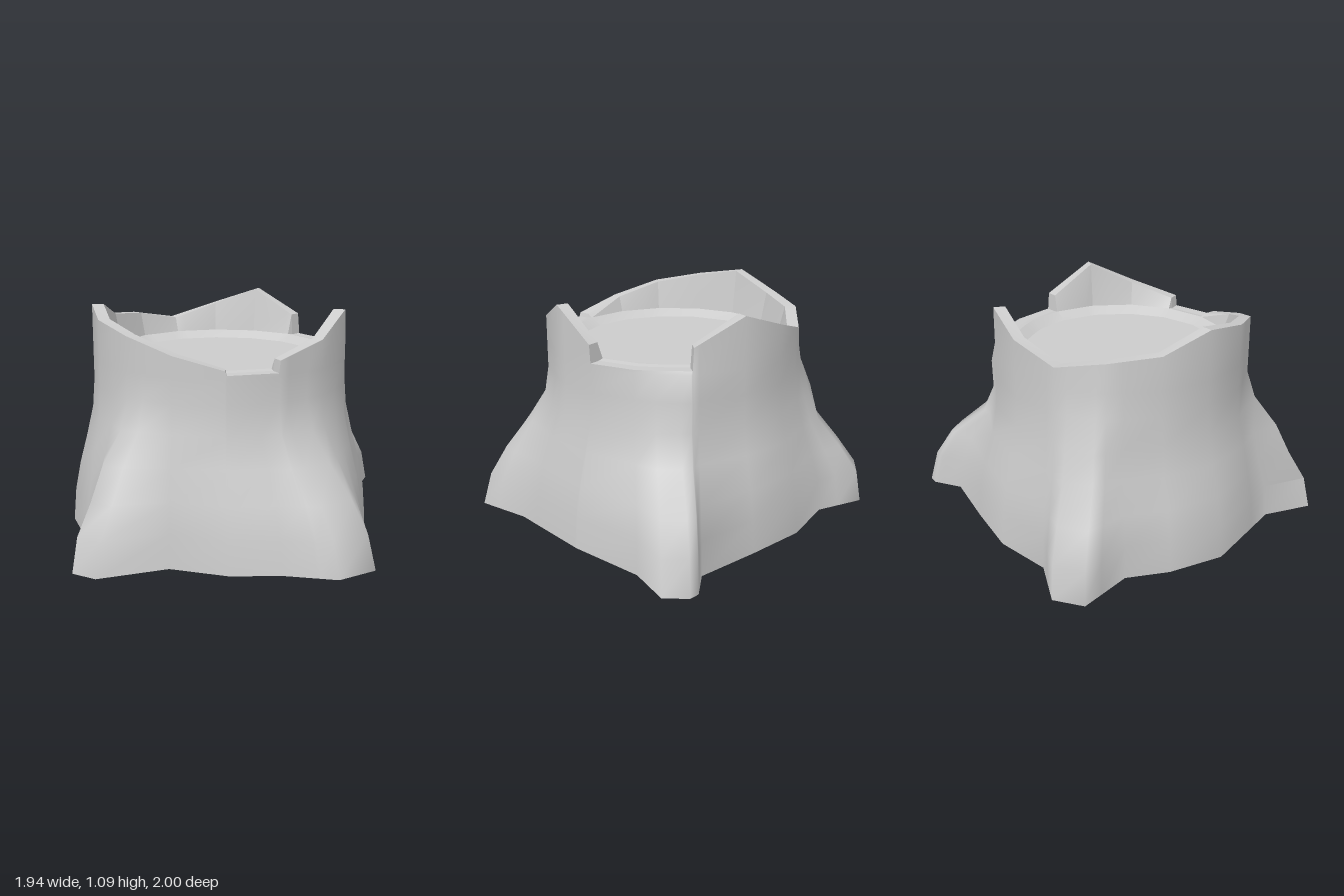
import * as THREE from 'three';
import { toCreasedNormals } from 'three/addons/utils/BufferGeometryUtils.js';

const { lerp } = THREE.MathUtils;
const CZ = 0.035, R = 0.615, SIDES = 16;

// Root outline on the ground: x, z and the trunk side (0 at +x, 4 at +z) it climbs to
const OUTLINE = [
  [0.97, 0.08, 0.35], [0.91, 0.27, 0.8], [0.7, 0.4, 1.4], [0.53, 0.56, 2], [0.28, 0.68, 3],
  [0.12, 0.97, 3.65], [0, 1, 4], [-0.11, 0.78, 4.5], [-0.52, 0.56, 6], [-0.67, 0.33, 7],
  [-0.74, 0.13, 7.7], [-0.97, -0.02, 8.2], [-0.94, -0.17, 8.75], [-0.7, -0.25, 9.2], [-0.52, -0.48, 10],
  [-0.27, -0.65, 11], [0, -0.82, 11.9], [0.04, -0.97, 12.05], [0.08, -1, 12.25], [0.2, -0.98, 12.7],
  [0.28, -0.77, 13.1], [0.53, -0.48, 14], [0.68, -0.25, 14.8], [0.77, -0.11, 15.4],
];

// Broken rim: trunk side and height; close pairs make the notch steps
const RIM = [
  [0, 0.985], [1, 0.92], [1.03, 0.865], [2, 0.865], [2.03, 0.885], [3, 0.945],
  [4, 1.01], [5, 1.05], [6, 1.09], [7, 1.01], [8, 0.985], [9, 0.94], [10, 1.01],
  [11, 1.09], [12, 0.97], [12.03, 0.865], [14, 0.865], [14.03, 0.95], [15, 1.09], [16, 0.985],
];

// How far the bark still reaches out at each height: right, front, left and back root, valleys between
const HEIGHTS = [0, 0.16, 0.3, 0.45, 0.59, 0.73, 0.85];
const VALLEY = [1, 0.89, 0.67, 0.35, 0.09, 0, 0];
const FLARE = [
  [1, 0.88, 0.65, 0.33, 0.08, 0, 0], VALLEY,
  [1, 0.9, 0.66, 0.45, 0.13, 0, 0], VALLEY,
  [1, 0.95, 0.67, 0.34, 0.26, 0.1, 0.04], VALLEY,
  [1, 0.9, 0.69, 0.24, 0.09, 0.1, 0.02], VALLEY,
];

// Point on the sixteen-sided trunk
function trunkPoint(k) {
  const corner = i => [R * Math.cos(i * Math.PI * 2 / SIDES), R * Math.sin(i * Math.PI * 2 / SIDES)];
  const i = Math.floor(k), [x0, z0] = corner(i), [x1, z1] = corner(i + 1);
  return [lerp(x0, x1, k - i), CZ + lerp(z0, z1, k - i)];
}

// Point on the root outline, which wraps round
function rootPoint(k) {
  const last = OUTLINE[OUTLINE.length - 1], first = OUTLINE[0];
  const loop = [[last[0], last[1], last[2] - SIDES], ...OUTLINE, [first[0], first[1], first[2] + SIDES]];
  const i = loop.findIndex(p => p[2] > k), a = loop[i - 1], b = loop[i];
  const t = (k - a[2]) / (b[2] - a[2]);
  return [lerp(a[0], b[0], t), lerp(a[1], b[1], t)];
}

function rimHeight(k) {
  const i = RIM.findIndex(p => p[0] > k), [k0, h0] = RIM[i - 1], [k1, h1] = RIM[i];
  return lerp(h0, h1, (k - k0) / (k1 - k0));
}

function flare(k, level) {
  const i = Math.floor(k / 2);
  return lerp(FLARE[i][level], FLARE[(i + 1) % 8][level], k / 2 - i);
}

const SIDE_STEPS = new Set([...OUTLINE.map(p => p[2]), ...RIM.slice(0, -1).map(p => p[0])]);
const COLUMNS = [...SIDE_STEPS].sort((a, b) => a - b)
  .map(k => ({ k, top: trunkPoint(k), base: rootPoint(k), h: rimHeight(k) }));

// Skin a stack of rings; each ring maps a column to a point
function skin(name, rings, crease) {
  const n = COLUMNS.length, index = [];
  const pos = rings.flatMap(ring => COLUMNS.flatMap(ring));
  for (let j = 0; j < rings.length - 1; j++) for (let i = 0; i < n; i++) {
    const a = j * n + i, b = j * n + (i + 1) % n;
    index.push(a, a + n, b, b, a + n, b + n);
  }
  const geo = new THREE.BufferGeometry();
  geo.setAttribute('position', new THREE.Float32BufferAttribute(pos, 3));
  geo.setIndex(index);
  const mesh = new THREE.Mesh(toCreasedNormals(geo, crease),
    new THREE.MeshStandardMaterial({ color: 0xcccccc }));
  mesh.name = name;
  return mesh;
}

// Ring that is the trunk section scaled about its axis
const inset = (s, height) => c => [c.top[0] * s, height(c), CZ + (c.top[1] - CZ) * s];

export function createModel() {
  const group = new THREE.Group();
  group.name = 'treeStump';

  // Trunk flaring into four roots
  const bark = HEIGHTS.map((y, level) => c => {
    const f = flare(c.k, level);
    return [lerp(c.top[0], c.base[0], f), y, lerp(c.top[1], c.base[1], f)];
  });
  const rimOuter = inset(1, c => c.h), rimInner = inset(0.91, c => c.h);
  group.add(skin('trunkAndRoots', [...bark, rimOuter], 1.3));

  // Flat underside
  group.add(skin('underside', [() => [0, 0, CZ], bark[0]], 0.5));

  // Splintered rim, then the inner wall down to the hollow
  const wallFoot = inset(0.865, () => 0.87), floorEdge = inset(0.77, () => 0.838);
  group.add(skin('rim', [rimOuter, rimInner], 0.3));
  group.add(skin('innerWall', [rimInner, wallFoot], 0.3));

  // Bevelled floor of the hollow
  group.add(skin('floorBevel', [wallFoot, floorEdge], 0.3));
  group.add(skin('floor', [floorEdge, inset(0, () => 0.835)], 0.5));
  return group;
}
